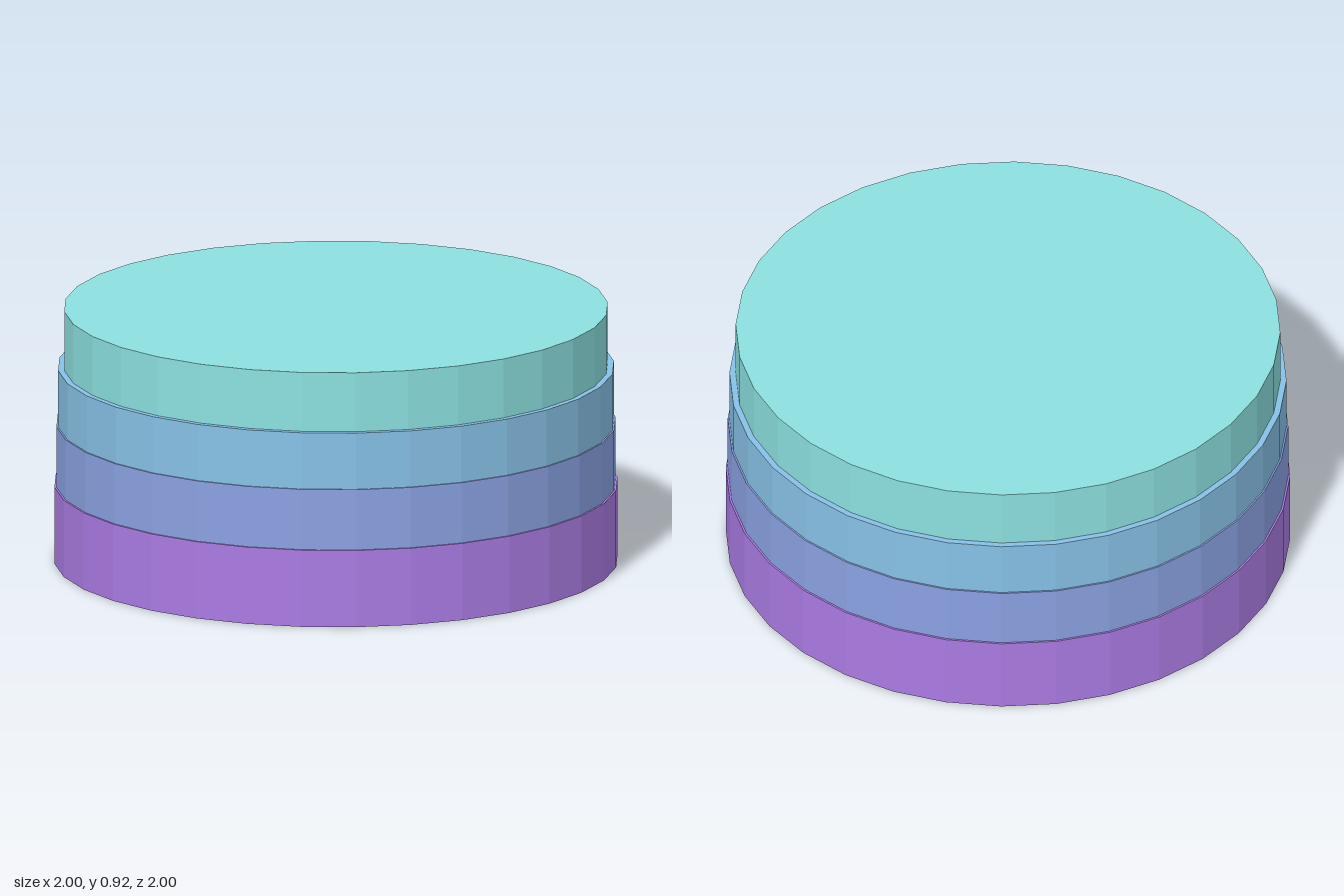
import * as THREE from 'three';

// Stacked discs, bottom to top: name, radius, base height, top height, color
const LAYERS = [
  ['bottomLayer', 1.0, 0, 0.28, 0xaa7be3],
  ['lowerMiddleLayer', 0.993, 0.28, 0.5, 0x8aa2e2],
  ['upperMiddleLayer', 0.987, 0.5, 0.705, 0x87c1e6],
  ['topLayer', 0.965, 0.705, 0.92, 0x8ce0e0],
];
const SIDES = 32;

export function createModel() {
  const model = new THREE.Group();
  model.name = 'layeredDisc';
  for (const [name, radius, y0, y1, color] of LAYERS) {
    const geometry = new THREE.CylinderGeometry(radius, radius, y1 - y0, SIDES);
    const material = new THREE.MeshStandardMaterial({ color, flatShading: true });
    const layer = new THREE.Mesh(geometry, material);
    layer.name = name;
    layer.position.y = (y0 + y1) / 2;
    model.add(layer);
  }
  return model;
}
